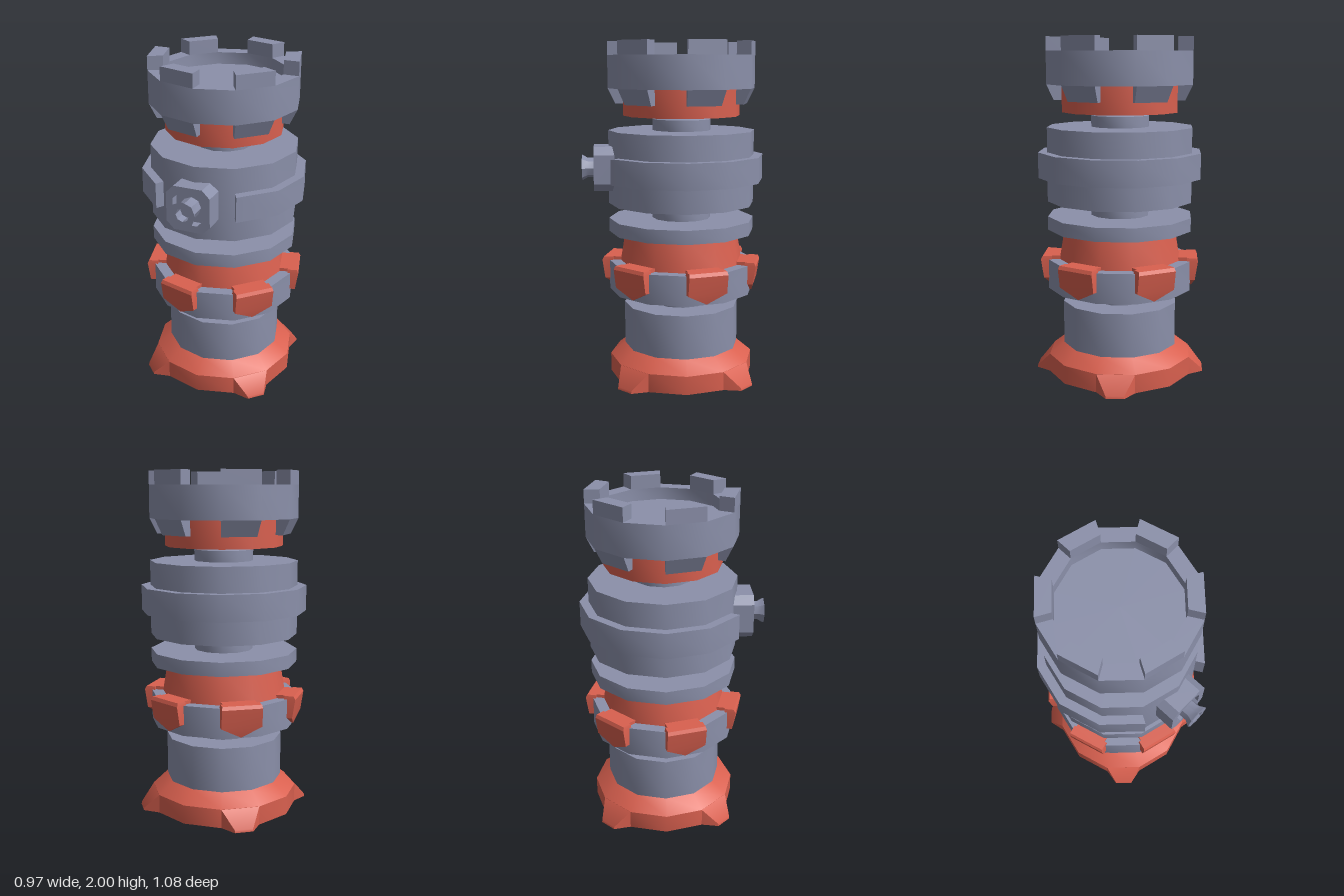
import * as THREE from 'three';
import { mergeGeometries, toCreasedNormals } from 'three/addons/utils/BufferGeometryUtils.js';
import { ConvexGeometry } from 'three/addons/geometries/ConvexGeometry.js';

const SIDES = 12;
const STEP = (Math.PI * 2) / SIDES;
const R = 0.434; // wide rings
const r = 0.345; // narrow rings

const grey = new THREE.MeshStandardMaterial({ color: 0x8b90aa });
grey.name = 'slate grey';
const red = new THREE.MeshStandardMaterial({ color: 0xd9604f });
red.name = 'brick red';

const toPoints = (profile) => profile.map(([x, y]) => new THREE.Vector2(x, y));

// Keeps the twelve-sided walls softly shaded and all real corners sharp
function part(parent, name, geometry, material) {
  const mesh = new THREE.Mesh(toCreasedNormals(geometry, 0.6), material);
  mesh.name = name;
  parent.add(mesh);
  return mesh;
}

function turned(profile, sides = SIDES) {
  return new THREE.LatheGeometry(toPoints(profile), sides);
}

// Closed cross-section swept over some of the twelve sides, with end caps
function sector(profile, first, count) {
  const pts = toPoints(profile);
  const sweep = new THREE.LatheGeometry([...pts, pts[0]], count, first * STEP, count * STEP);
  const caps = [first, first + count].map((k, end) => {
    const cap = new THREE.ShapeGeometry(new THREE.Shape(pts));
    if (end) cap.index.array.reverse();
    return cap.rotateY(k * STEP - Math.PI / 2);
  });
  return mergeGeometries([sweep, ...caps].map((g) => g.toNonIndexed()));
}

const disc = (radius, y0, y1) => turned([[0, y0], [radius, y0], [radius, y1], [0, y1]]);

function octagon(half, cut, PathType) {
  const a = half, b = half - cut;
  const corners = [[a, -b], [a, b], [b, a], [-b, a], [-a, b], [-a, -b], [-b, -a], [b, -a]];
  return new PathType(toPoints(corners));
}

function convex(points) {
  return new ConvexGeometry(points.map((p) => new THREE.Vector3(...p)));
}

// Foot with four pointed spurs on the diagonals
function addFoot(model) {
  const foot = new THREE.Group();
  foot.name = 'foot';
  model.add(foot);
  part(foot, 'footRing', turned([[0, 0], [R, 0], [R, 0.11], [r, 0.18], [0, 0.18]]), red);
  const points = [];
  for (const s of [-1, 1]) {
    const x = s * 0.112;
    points.push([x, 0, 0.418], [x, 0.11, 0.418], [s * 0.053, 0, 0.505], [s * 0.053, 0.015, 0.503]);
  }
  for (let i = 0; i < 4; i++) {
    part(foot, 'spur', convex(points), red).rotation.y = Math.PI / 4 + (i * Math.PI) / 2;
  }
}

// Ring with six pointed plates hooked over its upper edge
function addPlatedRing(model) {
  part(model, 'platedRing', disc(R, 0.525, 0.7), grey);
  const outer = [[0, 0.53, 0.43]];
  for (const s of [-1, 1]) {
    outer.push([s * 0.117, 0.59, 0.448], [s * 0.117, 0.7, 0.465], [s * 0.113, 0.72, 0.455]);
  }
  const shield = convex([...outer, ...outer.map(([x, y]) => [x, y, 0.4])]);
  for (let i = 1; i < SIDES; i += 2) {
    const plate = new THREE.Group();
    plate.name = 'hookedPlate';
    plate.rotation.y = (i + 0.5) * STEP;
    part(plate, 'shield', shield, red);
    part(plate, 'hook', new THREE.BoxGeometry(0.2, 0.035, 0.1).translate(0, 0.7025, 0.38), red);
    model.add(plate);
  }
}

// Crown: hollow top with battlements above and tapered corbels below
function addCrown(model) {
  const crown = new THREE.Group();
  crown.name = 'crown';
  model.add(crown);
  part(crown, 'crownNeck', disc(r, 1.57, 1.74), red);
  const wall = [[0, 1.73], [R, 1.73], [R, 1.92], [r, 1.92], [r, 1.85], [0, 1.85]];
  part(crown, 'crownWall', turned(wall), grey);
  for (let i = 1; i < SIDES; i += 2) {
    part(crown, 'battlement', sector([[r, 1.92], [R, 1.92], [R, 2], [r, 2]], i, 1), grey);
    part(crown, 'corbel', sector([[0.34, 1.64], [0.39, 1.64], [R, 1.73], [0.34, 1.73]], i, 1), grey);
  }
}

// Nozzle set in a recessed eight-sided mount on the front
function addNozzle(model) {
  const nozzle = new THREE.Group();
  nozzle.name = 'nozzle';
  nozzle.position.set(0, 1.265, 0.05);
  model.add(nozzle);
  const frame = octagon(0.13, 0.045, THREE.Shape);
  frame.holes.push(octagon(0.09, 0.035, THREE.Path));
  const rim = new THREE.ExtrudeGeometry(frame, { depth: 0.15, bevelEnabled: false });
  part(nozzle, 'mount', rim.translate(0, 0, 0.32), grey);
  const back = new THREE.ShapeGeometry(octagon(0.1, 0.035, THREE.Shape));
  part(nozzle, 'mountFloor', back.translate(0, 0, 0.42), grey);
  const spout = [[0.057, 0.42], [0.057, 0.505], [0.077, 0.54], [0.04, 0.54], [0.04, 0.48], [0, 0.48]];
  part(nozzle, 'spout', turned(spout, 8).rotateX(Math.PI / 2), grey);
}

export function createModel() {
  const model = new THREE.Group();
  model.name = 'tower';
  model.position.z = -0.05;

  addFoot(model);
  part(model, 'lowerColumn', disc(r, 0.18, 0.44), grey);
  addPlatedRing(model);
  part(model, 'taperedCollar', turned([[0, 0.7], [0.367, 0.7], [0.337, 0.88], [0, 0.88]]), red);
  part(model, 'flatRing', disc(R, 0.88, 0.96), grey);
  part(model, 'drum', disc(R, 1.05, 1.485), grey);

  // Slim joints with a bevelled upper edge
  for (const [y0, y1] of [[0.44, 0.525], [0.96, 1.05], [1.485, 1.57]]) {
    const joint = [[0, y0], [0.173, y0], [0.173, y1 - 0.02], [0.14, y1], [0, y1]];
    part(model, 'joint', turned(joint), grey);
  }

  // Raised band, open at the front
  const band = [[0.42, 1.19], [0.487, 1.19], [0.487, 1.34], [0.42, 1.34]];
  part(model, 'band', sector(band, 1, 10), grey);

  addNozzle(model);
  addCrown(model);

  const root = new THREE.Group();
  root.name = 'towerModel';
  root.add(model);
  return root;
}
